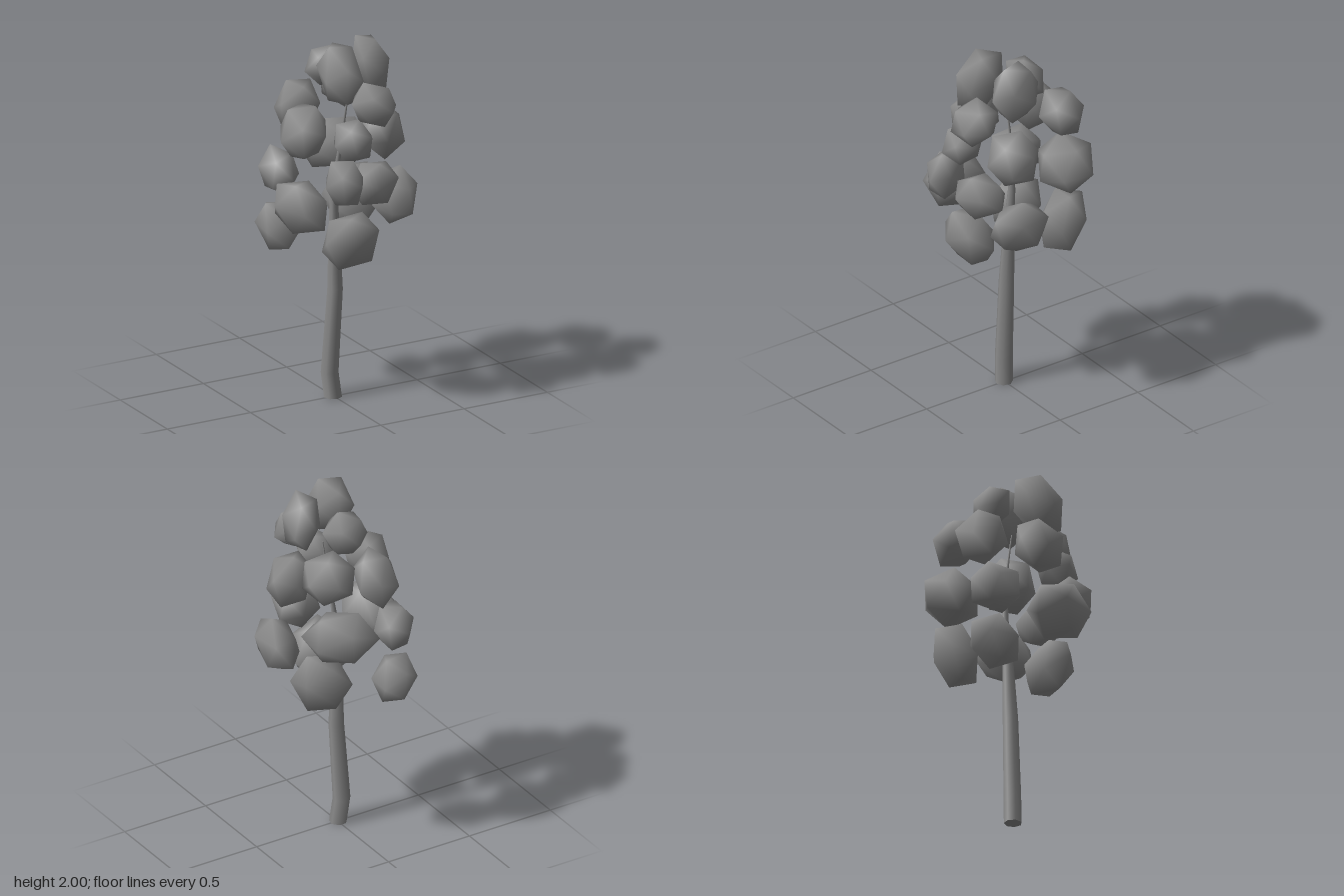
import * as THREE from 'three';
import { mergeVertices } from 'three/addons/utils/BufferGeometryUtils.js';

const grey = new THREE.MeshStandardMaterial({ color: 0x8c8c8c });
grey.name = 'grey';

// Leaf clusters: x min, x max, y min, y max, z min, z max
const clusters = [
  [-0.185, 0.15, 0.785, 1.09, 0.08, 0.34],
  [-0.32, -0.1, 0.785, 1.05, -0.36, -0.09],
  [0.1, 0.365, 0.84, 1.19, -0.34, -0.08],
  [-0.41, -0.13, 1.0, 1.29, -0.035, 0.29],
  [0.19, 0.41, 0.95, 1.27, -0.04, 0.275],
  [-0.2, -0.01, 1.17, 1.44, 0.17, 0.43],
  [-0.02, 0.24, 1.12, 1.37, 0.1, 0.37],
  [-0.315, -0.1, 1.1, 1.36, -0.37, -0.07],
  [-0.02, 0.335, 1.165, 1.435, -0.43, -0.13],
  [-0.335, -0.08, 1.38, 1.68, -0.1, 0.185],
  [-0.14, 0.09, 1.4, 1.62, 0.14, 0.36],
  [0.1, 0.355, 1.33, 1.64, -0.03, 0.245],
  [-0.21, 0.035, 1.43, 1.7, -0.37, -0.1],
  [0.06, 0.335, 1.525, 1.765, -0.36, -0.09],
  [-0.04, 0.23, 1.575, 1.81, 0.15, 0.37],
  [-0.145, 0.07, 1.7, 2.0, 0, 0.265],
  [0.1, 0.27, 1.7, 2.0, -0.085, 0.21],
  [-0.1, 0.15, 1.69, 1.93, -0.215, -0.01],
];

// Trunk cross-sections: x, y, z, radius
const sections = [
  [-0.005, 0, 0, 0.048], [-0.02, 0.14, -0.01, 0.048], [0.01, 0.6, -0.005, 0.042],
  [0.012, 0.9, -0.018, 0.031], [0.018, 1.15, -0.033, 0.02],
  [0.05, 1.4, -0.015, 0.01], [0.07, 1.7, 0.035, 0.003],
];

const up = new THREE.Vector3(0, 1, 0);
const faceAxis = new THREE.Vector3(1, 1, 1).normalize();
const turn = (from, to) => new THREE.Quaternion().setFromUnitVectors(from, to);

// Smooth twenty-sided lump, flattened along its outward direction
function makeCluster([x0, x1, y0, y1, z0, z1], i) {
  const ball = new THREE.IcosahedronGeometry(1, 0);
  ball.deleteAttribute('normal');
  ball.deleteAttribute('uv');
  const geo = mergeVertices(ball);
  const min = new THREE.Vector3(x0, y0, z0), max = new THREE.Vector3(x1, y1, z1);
  const centre = min.clone().add(max).multiplyScalar(0.5);
  const outward = new THREE.Vector3(centre.x, (centre.y - 1.35) * 0.5, centre.z).normalize();
  geo.applyQuaternion(turn(faceAxis, up));
  geo.rotateY(i * 1.3);
  geo.scale(1, 0.8, 1);
  geo.applyQuaternion(turn(up, outward));
  geo.center();
  const size = geo.boundingBox.getSize(new THREE.Vector3());
  const scale = max.sub(min).divide(size);
  geo.scale(scale.x, scale.y, scale.z);
  geo.translate(centre.x, centre.y, centre.z);
  geo.computeVertexNormals();
  const mesh = new THREE.Mesh(geo, grey);
  mesh.name = 'leafCluster' + (i + 1);
  return mesh;
}

// Bent trunk tapering to a thin tip
function makeTrunk() {
  const rows = sections.length - 1;
  const geo = new THREE.CylinderGeometry(1, 1, 1, 7, rows);
  const pos = geo.attributes.position;
  for (let i = 0; i < pos.count; i++) {
    const [x, y, z, r] = sections[Math.round((pos.getY(i) + 0.5) * rows)];
    pos.setXYZ(i, x + pos.getX(i) * r, y, z + pos.getZ(i) * r);
  }
  const mesh = new THREE.Mesh(geo, grey);
  mesh.name = 'trunk';
  return mesh;
}

export function createModel() {
  const tree = new THREE.Group();
  tree.name = 'tree';
  const crown = new THREE.Group();
  crown.name = 'crown';
  clusters.forEach((box, i) => crown.add(makeCluster(box, i)));
  tree.add(makeTrunk(), crown);
  return tree;
}
